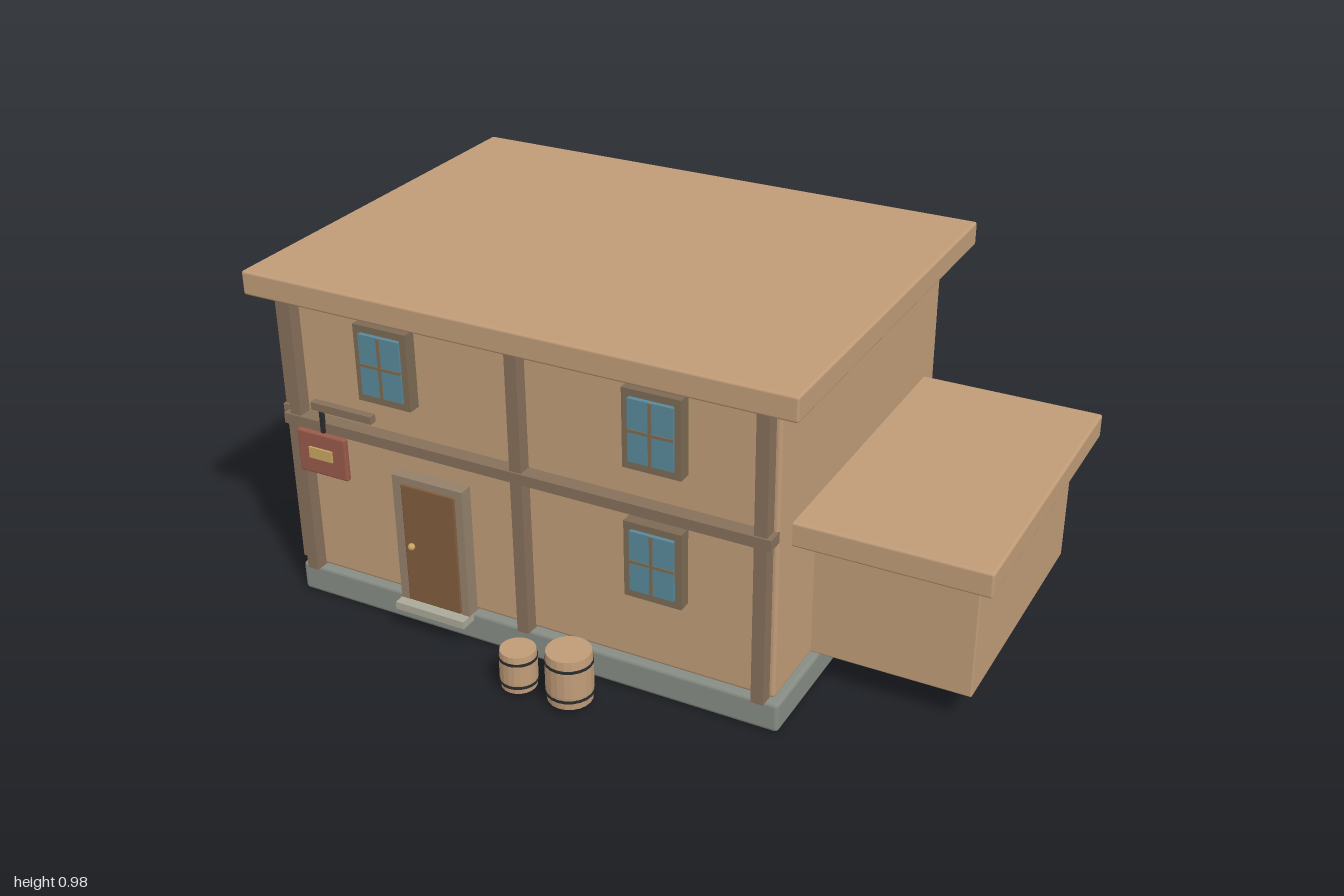
import * as THREE from 'three';
import { RoundedBoxGeometry } from 'three/addons/geometries/RoundedBoxGeometry.js';

const COLORS = {
  plaster: 0xc09c78, stone: 0x868c84, step: 0xa9a898, beam: 0x86705a, frame: 0x7d6a54,
  doorFrame: 0x94806a, door: 0x805c3c, glass: 0x58899a, iron: 0x2c2c2c, sign: 0x985a4a, brass: 0xc9a561,
};
const materials = {};
for (const key in COLORS) materials[key] = new THREE.MeshStandardMaterial({ color: COLORS[key] });

function add(parent, name, geometry, color, x = 0, y = 0, z = 0) {
  const mesh = new THREE.Mesh(geometry, materials[color]);
  mesh.name = name;
  mesh.position.set(x, y, z);
  parent.add(mesh);
  return mesh;
}

// Box given by its [min, max] range on each axis, with an optional rounded edge
function block(parent, name, color, [x0, x1], [y0, y1], [z0, z1], bevel = 0) {
  const size = [x1 - x0, y1 - y0, z1 - z0];
  const geometry = bevel ? new RoundedBoxGeometry(...size, 2, bevel) : new THREE.BoxGeometry(...size);
  return add(parent, name, geometry, color, (x0 + x1) / 2, (y0 + y1) / 2, (z0 + z1) / 2);
}

// Window facing +z, its back at z = 0: open frame, glass and glazing bars
function makeWindow() {
  const g = new THREE.Group();
  g.name = 'window';
  const w = 0.16, h = 0.215, t = 0.019;
  for (const s of [-1, 1]) {
    const x = s * (w - t) / 2, y = s * (h - t) / 2;
    block(g, 'frameSide', 'frame', [x - t / 2, x + t / 2], [-h / 2, h / 2], [0, 0.037]);
    block(g, 'frameRail', 'frame', [-w / 2 + t, w / 2 - t], [y - t / 2, y + t / 2], [0, 0.037]);
  }
  block(g, 'glass', 'glass', [-0.062, 0.062], [-0.085, 0.085], [0.005, 0.043]);
  block(g, 'glazingBar', 'frame', [-0.004, 0.004], [-0.085, 0.085], [0.04, 0.047]);
  block(g, 'glazingBar', 'frame', [-0.062, 0.062], [-0.004, 0.004], [0.04, 0.046]);
  return g;
}

// Barrel with a slight belly and two iron hoops
function makeBarrel(radius, height) {
  const g = new THREE.Group();
  g.name = 'barrel';
  const profile = [[0, 0], [0.95, 0], [1, 0.25], [1, 0.75], [0.95, 1], [0, 1]]
    .map(([r, y]) => new THREE.Vector2(r * radius, y * height));
  const staves = new THREE.LatheGeometry(profile, 20).toNonIndexed();
  staves.computeVertexNormals();
  add(g, 'staves', staves, 'plaster');
  for (const t of [0.17, 0.8]) {
    const hoop = new THREE.CylinderGeometry(radius * 1.015, radius * 1.015, 0.008, 20);
    add(g, 'hoop', hoop, 'iron', 0, height * t, 0);
  }
  return g;
}

export function createModel() {
  const model = new THREE.Group();
  model.name = 'house';

  // Main house
  block(model, 'foundation', 'stone', [-0.95, 0.51], [0, 0.087], [-0.61, 0.48], 0.012);
  block(model, 'walls', 'plaster', [-0.93, 0.49], [0.087, 0.908], [-0.59, 0.46], 0.01);
  block(model, 'roof', 'plaster', [-1, 0.56], [0.908, 0.975], [-0.66, 0.53], 0.007);

  // Side annex
  block(model, 'annexWalls', 'plaster', [0.44, 0.925], [0.09, 0.487], [-0.525, 0.235], 0.005);
  block(model, 'annexRoof', 'plaster', [0.44, 0.995], [0.487, 0.555], [-0.515, 0.38], 0.007);

  // Timber framing on the front and on the right side
  const timber = new THREE.Group();
  timber.name = 'timberFraming';
  model.add(timber);
  for (const x of [-0.9, -0.217, 0.46])
    block(timber, 'frontPost', 'beam', [x - 0.017, x + 0.017], [0.088, 0.908], [0.455, 0.498]);
  for (const z of [-0.565, -0.065, 0.435])
    block(timber, 'sidePost', 'beam', [-0.967, -0.925], [0.088, 0.908], [z - 0.017, z + 0.017]);
  block(timber, 'frontBeam', 'beam', [-0.935, 0.49], [0.54, 0.57], [0.455, 0.503]);
  block(timber, 'sideBeam', 'beam', [-0.971, -0.925], [0.54, 0.57], [-0.595, 0.46]);

  // Windows
  for (const [x, y] of [[-0.605, 0.772], [0.17, 0.772], [0.17, 0.407]]) {
    const w = makeWindow();
    w.position.set(x, y, 0.46);
    model.add(w);
  }
  for (const z of [-0.32, 0.18]) for (const y of [0.772, 0.407]) {
    const w = makeWindow();
    w.position.set(-0.93, y, z);
    w.rotation.y = -Math.PI / 2;
    model.add(w);
  }

  // Front door
  const door = new THREE.Group();
  door.name = 'frontDoor';
  model.add(door);
  for (const [x0, x1] of [[-0.6, -0.572], [-0.406, -0.383]])
    block(door, 'doorJamb', 'doorFrame', [x0, x1], [0.085, 0.467], [0.455, 0.5]);
  block(door, 'doorLintel', 'doorFrame', [-0.572, -0.406], [0.447, 0.467], [0.455, 0.5]);
  block(door, 'doorLeaf', 'door', [-0.572, -0.406], [0.09, 0.447], [0.455, 0.505], 0.004);
  block(door, 'doorstep', 'step', [-0.6, -0.383], [0.065, 0.087], [0.45, 0.53]);
  add(door, 'doorKnob', new THREE.SphereGeometry(0.01, 12, 8), 'brass', -0.545, 0.267, 0.513);

  // Hanging sign without lettering
  const sign = new THREE.Group();
  sign.name = 'hangingSign';
  model.add(sign);
  block(sign, 'bracketArm', 'beam', [-0.83, -0.64], [0.61, 0.632], [0.495, 0.517]);
  block(sign, 'hanger', 'iron', [-0.811, -0.8], [0.54, 0.612], [0.501, 0.511]);
  block(sign, 'signBoard', 'sign', [-0.885, -0.73], [0.418, 0.543], [0.502, 0.52], 0.006);
  block(sign, 'signPlate', 'brass', [-0.845, -0.772], [0.468, 0.5], [0.515, 0.526]);

  // Barrels by the door
  for (const [x, y, z, r, h] of [[-0.02, 0.012, 0.593, 0.063, 0.144], [-0.165, 0.012, 0.605, 0.05, 0.11]]) {
    const barrel = makeBarrel(r, h);
    barrel.position.set(x, y, z);
    model.add(barrel);
  }
  return model;
}
